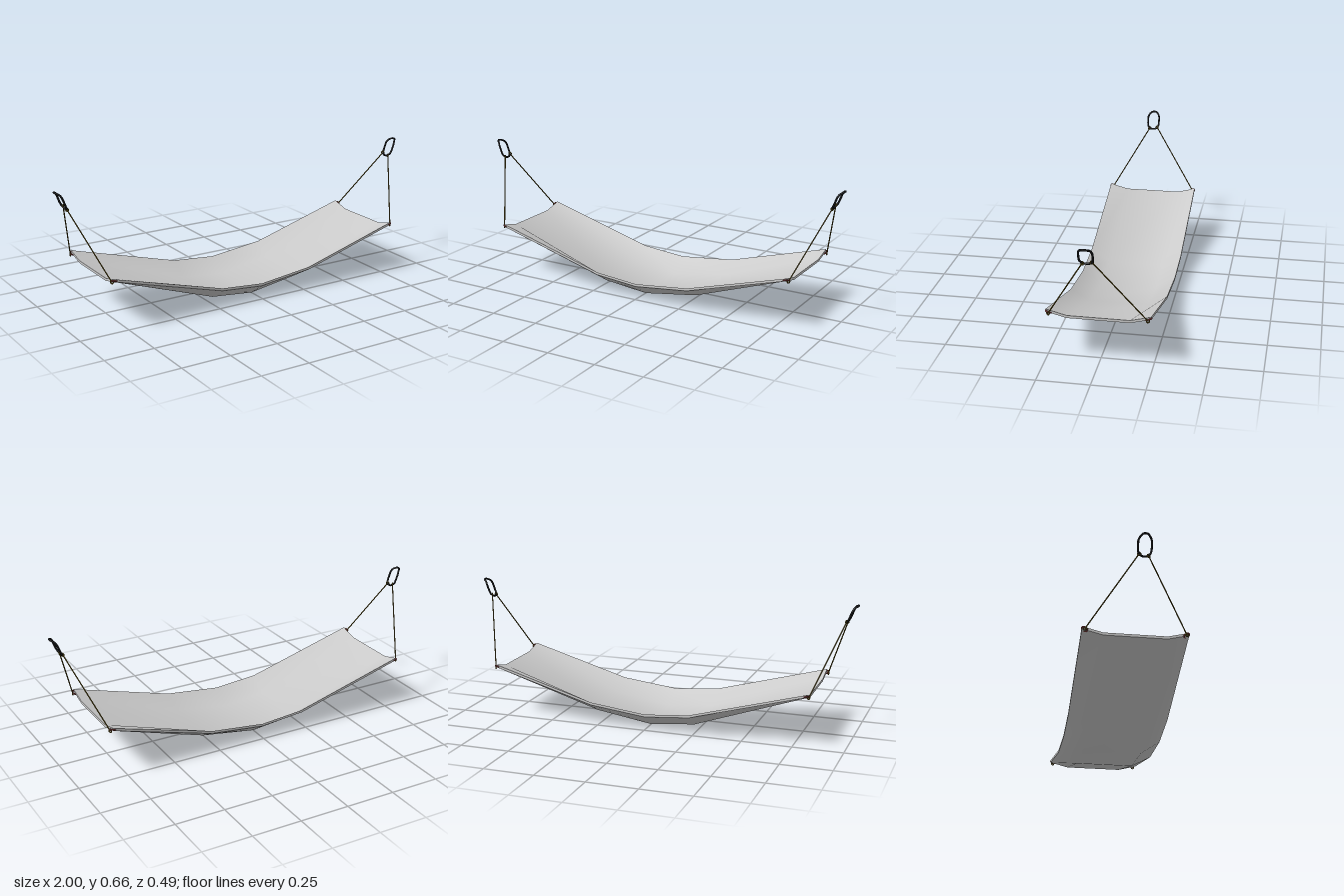
import * as THREE from 'three';
import { toCreasedNormals } from 'three/addons/utils/BufferGeometryUtils.js';

const V = (x, y, z) => new THREE.Vector3(x, y, z);
const material = (color) => new THREE.MeshStandardMaterial({ color });

function addMesh(parent, name, geometry, mat) {
  const mesh = new THREE.Mesh(geometry, mat);
  mesh.name = name;
  parent.add(mesh);
  return mesh;
}

// Curved sheet: lofted along x, flat in the middle with raised long edges
function sheetGeometry() {
  // x, underside height at the middle, underside height at the edge
  const stations = [
    [-0.81, 0.224, 0.249], [-0.23, 0.024, 0.087], [0, 0, 0.067],
    [0.29, 0.045, 0.1], [0.81, 0.224, 0.249],
  ];
  const zs = [-0.242, -0.145, 0.145, 0.242];
  const thick = 0.013;
  const pos = [], index = [];
  for (const [x, mid, edge] of stations) {
    const height = (k) => (k === 0 || k === 3 ? edge : mid);
    for (let k = 0; k < 4; k++) pos.push(x, height(k) + thick, zs[k]);
    for (let k = 3; k >= 0; k--) pos.push(x, height(k), zs[k]);
  }
  const quad = (a, b, c, d) => index.push(a, b, c, a, c, d);
  for (let i = 0; i < stations.length - 1; i++) {
    for (let j = 0; j < 8; j++) {
      const n = (j + 1) % 8, p = i * 8;
      quad(p + j, p + n, p + 8 + n, p + 8 + j);
    }
  }
  const last = (stations.length - 1) * 8;
  for (let j = 0; j < 3; j++) {
    quad(last + j, last + j + 1, last + 6 - j, last + 7 - j);
    quad(7 - j, 6 - j, j + 1, j);
  }
  const g = new THREE.BufferGeometry();
  g.setAttribute('position', new THREE.Float32BufferAttribute(pos, 3));
  g.setIndex(index);
  return toCreasedNormals(g, 0.8);
}

// Oblong hanging ring, bent outward at its top and inward at its foot
function ringGeometry() {
  const half = [
    [0.941, 0.564, 0.012], [0.95, 0.577, 0.028], [0.957, 0.592, 0.031],
    [0.97, 0.626, 0.031], [0.979, 0.641, 0.024], [0.994, 0.65, 0.01],
  ];
  const points = half.map(([x, y, z]) => V(x, y, 0.021 + z));
  for (const [x, y, z] of [...half].reverse()) points.push(V(x, y, 0.021 - z));
  const curve = new THREE.CatmullRomCurve3(points, true, 'catmullrom', 0.25);
  return new THREE.TubeGeometry(curve, 48, 0.005, 8, true);
}

// Rope between two points
function addRope(parent, a, b, mat) {
  const rope = addMesh(parent, 'rope', new THREE.CylinderGeometry(0.003, 0.003, a.distanceTo(b), 8), mat);
  rope.position.copy(a).lerp(b, 0.5);
  rope.quaternion.setFromUnitVectors(V(0, 1, 0), b.clone().sub(a).normalize());
}

export function createModel() {
  const model = new THREE.Group();
  model.name = 'hangingSling';
  const ropeMat = material(0x5c4c0c);
  const ringMat = material(0x101214);
  const eyeletMat = material(0x7a3434);

  addMesh(model, 'sheet', sheetGeometry(), material(0xcccccc));

  for (const side of [1, -1]) {
    const rig = new THREE.Group();
    rig.name = side > 0 ? 'leftSuspension' : 'rightSuspension';
    model.add(rig);
    const ring = addMesh(rig, 'hangingRing', ringGeometry(), ringMat);
    if (side < 0) {
      // The ring is symmetric about its own z, so a half turn mirrors it
      ring.rotation.y = Math.PI;
      ring.position.z = 0.042;
    }
    for (const end of [1, -1]) {
      const low = V(side * 0.82, 0.246, end * 0.229);
      const high = V(side * 0.944, end > 0 ? 0.566 : 0.573, end > 0 ? 0.04 : -0.003);
      addRope(rig, low, high, ropeMat);

      // Eyelet through the sheet corner, tilted with the sheet
      const eyelet = addMesh(rig, 'cornerEyelet', new THREE.TorusGeometry(0.013, 0.004, 8, 16), eyeletMat);
      eyelet.position.set(side * 0.808, 0.249, end * 0.23);
      eyelet.quaternion.setFromUnitVectors(V(0, 0, 1), V(-side * 0.3, 1, -end * 0.4).normalize());

      // Rope loops around the eyelet and around the ring
      for (const [name, at] of [['lowerKnot', low], ['upperKnot', high]]) {
        const knot = addMesh(rig, name, new THREE.TorusGeometry(0.0075, 0.003, 8, 14), ropeMat);
        knot.position.copy(at);
        knot.rotation.y = Math.PI / 2 - side * end * 0.5;
      }
    }
  }
  return model;
}
